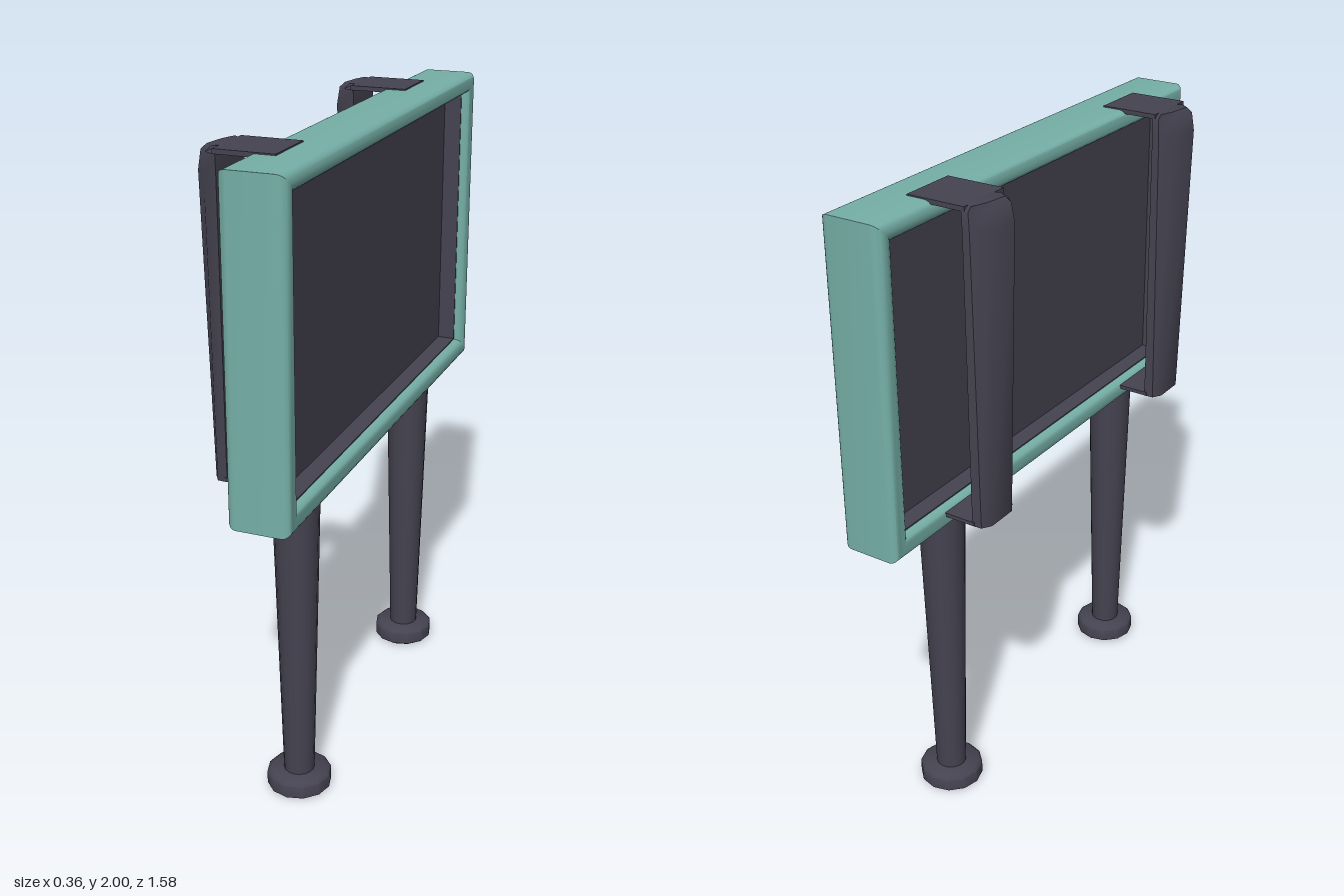
import * as THREE from 'three';
import { toCreasedNormals } from 'three/addons/utils/BufferGeometryUtils.js';

const teal = new THREE.MeshStandardMaterial({ name: 'teal frame', color: 0x76b0a8 });
const dark = new THREE.MeshStandardMaterial({ name: 'dark metal', color: 0x454351 });

function add(parent, name, geometry, material, x = 0, y = 0, z = 0) {
  const mesh = new THREE.Mesh(geometry, material);
  mesh.name = name;
  mesh.position.set(x, y, z);
  parent.add(mesh);
  return mesh;
}

function rectangle(target, w, y0, y1) {
  target.moveTo(-w, y0);
  target.lineTo(w, y0);
  target.lineTo(w, y1);
  target.lineTo(-w, y1);
  target.closePath();
  return target;
}

// Rectangular ring standing in the z-y plane, from x0 to x1, with rounded edges
function ring(outer, inner, x0, x1, bevel) {
  const shape = rectangle(new THREE.Shape(), ...outer);
  shape.holes.push(rectangle(new THREE.Path(), ...inner));
  const geometry = new THREE.ExtrudeGeometry(shape, {
    depth: x1 - x0 - 2 * bevel, bevelEnabled: bevel > 0, bevelThickness: bevel,
    bevelSize: bevel, bevelOffset: -bevel, bevelSegments: 5,
  });
  geometry.rotateY(Math.PI / 2).translate(x0 + bevel, 0, 0);
  return toCreasedNormals(geometry, 0.7);
}

// Closed loft through horizontal sections { y, points: [x, z] }
function loft(sections) {
  const n = sections[0].points.length;
  const positions = sections.flatMap(s => s.points.flatMap(([x, z]) => [x, s.y, z]));
  const index = [];
  for (let r = 0; r < sections.length - 1; r++) {
    for (let i = 0; i < n; i++) {
      const a = r * n + i, b = r * n + (i + 1) % n;
      index.push(a, b, b + n, a, b + n, a + n);
    }
  }
  const top = (sections.length - 1) * n;
  for (let i = 1; i < n - 1; i++) {
    index.push(0, i + 1, i, top, top + i, top + i + 1);
  }
  const geometry = new THREE.BufferGeometry();
  geometry.setAttribute('position', new THREE.Float32BufferAttribute(positions, 3));
  geometry.setIndex(index);
  return toCreasedNormals(geometry, 0.8);
}

export function createModel() {
  const model = new THREE.Group();
  model.name = 'billboard';

  // Board: rounded frame, dark lining and a thin panel set deep in the middle
  const board = new THREE.Group();
  board.name = 'board';
  model.add(board);
  add(board, 'frame', ring([0.79, 1.005, 1.996], [0.728, 1.072, 1.936], -0.016, 0.177, 0.028), teal);
  add(board, 'lining', ring([0.74, 1.06, 1.948], [0.724, 1.076, 1.932], 0.012, 0.148, 0), dark);
  add(board, 'panel', new THREE.BoxGeometry(0.024, 0.88, 1.47), dark, 0.08, 1.504, 0);

  // Tapered posts on round feet
  const footProfile = [[0, 0], [0.092, 0], [0.1, 0.006], [0.1, 0.046], [0.088, 0.057], [0, 0.058]]
    .map(p => new THREE.Vector2(...p));
  const foot = toCreasedNormals(new THREE.LatheGeometry(footProfile, 12), 0.9);
  const post = new THREE.CylinderGeometry(0.072, 0.047, 1.0, 16);
  for (const z of [0.498, -0.474]) {
    const leg = new THREE.Group();
    leg.name = 'leg';
    leg.position.set(0.066, 0, z);
    model.add(leg);
    add(leg, 'post', post, dark, 0, 0.54, 0);
    add(leg, 'foot', foot, dark);
  }

  // Back brackets: upright bar, thicker and skewed at the top, with two straps
  const bar = loft([
    { y: 1.045, points: [[-0.105, -0.08], [-0.135, -0.078], [-0.153, -0.05], [-0.153, 0.05], [-0.135, 0.078], [-0.105, 0.08]] },
    { y: 1.93, points: [[-0.105, -0.088], [-0.128, -0.088], [-0.16, -0.04], [-0.178, 0.045], [-0.15, 0.07], [-0.105, 0.088]] },
    { y: 1.985, points: [[-0.105, -0.09], [-0.125, -0.088], [-0.152, -0.035], [-0.17, 0.042], [-0.145, 0.066], [-0.105, 0.09]] },
    { y: 2.0, points: [[-0.108, -0.065], [-0.128, -0.08], [-0.145, -0.035], [-0.155, 0.035], [-0.13, 0.055], [-0.108, 0.045]] },
  ]);
  const topStrap = new THREE.BoxGeometry(0.182, 0.014, 0.18);
  const bottomStrap = new THREE.BoxGeometry(0.135, 0.012, 0.165);
  for (const z of [0.514, -0.475]) {
    const bracket = new THREE.Group();
    bracket.name = 'bracket';
    bracket.position.z = z;
    model.add(bracket);
    add(bracket, 'bar', bar, dark);
    add(bracket, 'topStrap', topStrap, dark, -0.023, 1.993, 0);
    add(bracket, 'bottomStrap', bottomStrap, dark, -0.045, 1.053, 0);
  }
  return model;
}
